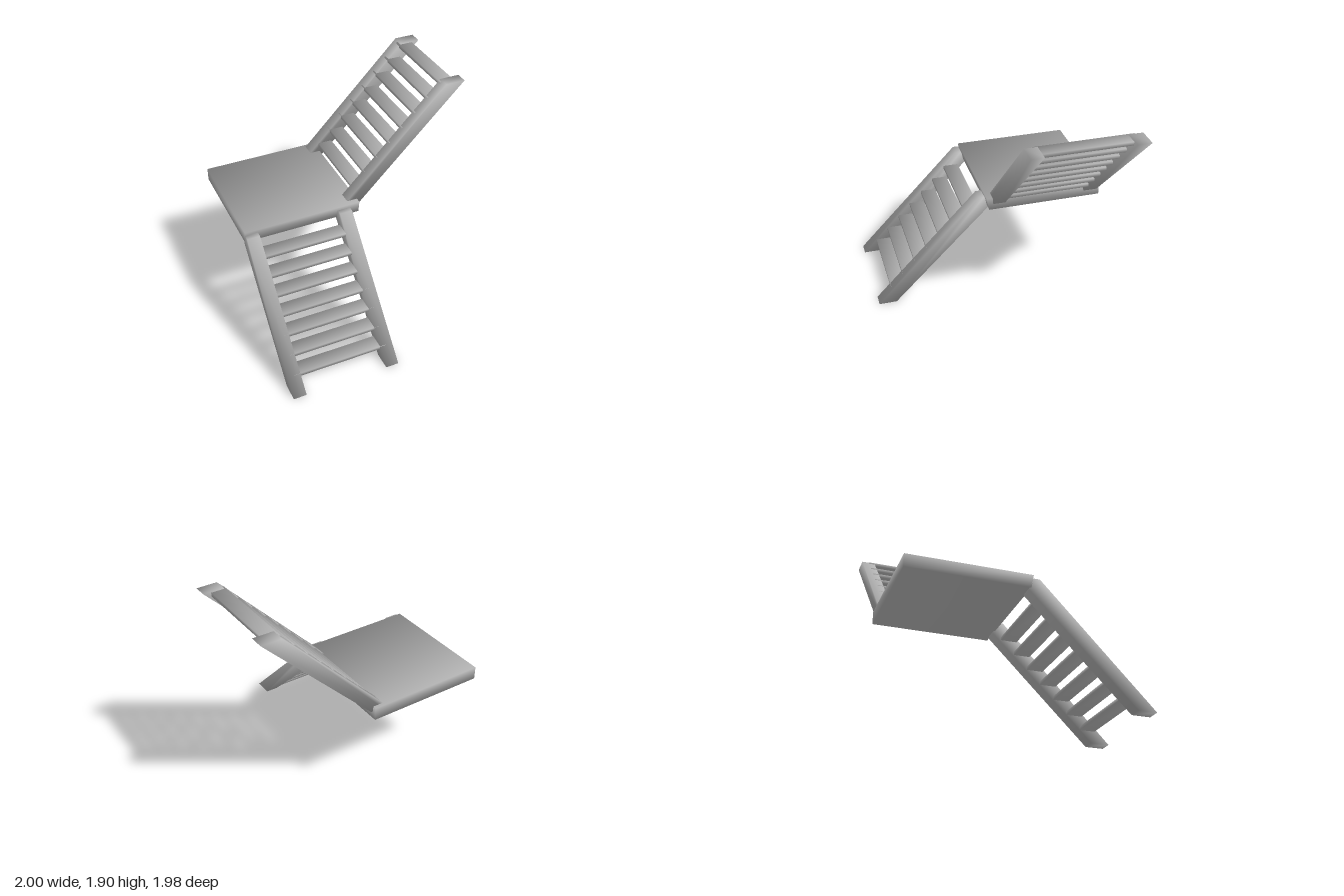
import * as THREE from 'three';

// Convex prism with shared corners, so shading rolls softly around every edge.
// profile: counter-clockwise [u, y] points, extruded from w0 to w1.
function prism(profile, w0, w1) {
  const n = profile.length, pos = [], nor = [], idx = [];
  const edgeNormal = i => {
    const a = profile[i % n], b = profile[(i + 1) % n];
    return new THREE.Vector3(b[1] - a[1], a[0] - b[0], 0).normalize();
  };
  [w0, w1].forEach((w, end) => {
    profile.forEach(([u, y], i) => {
      pos.push(u, y, w);
      const normal = edgeNormal(i).add(edgeNormal(i + n - 1));
      normal.z += end ? 1 : -1;
      nor.push(...normal.normalize().toArray());
    });
  });
  for (let i = 0; i < n; i++) {
    const j = (i + 1) % n;
    idx.push(i, j, n + j, i, n + j, n + i);
  }
  for (let i = 1; i < n - 1; i++) {
    idx.push(0, i + 1, i, n, n + i, n + i + 1);
  }
  const geo = new THREE.BufferGeometry();
  geo.setAttribute('position', new THREE.Float32BufferAttribute(pos, 3));
  geo.setAttribute('normal', new THREE.Float32BufferAttribute(nor, 3));
  geo.setIndex(idx);
  return geo;
}

// Prism whose profile lies in z/y and which runs along x
const prismAlongX = (profile, x0, x1) => prism(profile, -x1, -x0).rotateY(-Math.PI / 2);

const rect = (u0, u1, y0, y1) => [[u0, y0], [u1, y0], [u1, y1], [u0, y1]];

export function createModel() {
  const model = new THREE.Group();
  const grey = new THREE.MeshStandardMaterial({ color: 0xb4b4b4 });
  grey.name = 'plain grey';

  const add = (parent, name, geo) => {
    const mesh = new THREE.Mesh(geo, grey);
    mesh.name = name;
    parent.add(mesh);
  };
  const flight = name => {
    const group = new THREE.Group();
    group.name = name;
    model.add(group);
    return group;
  };

  // Landing slab with a slightly raked front edge
  add(model, 'landing', prismAlongX([[-0.99, 0.88], [0, 0.88], [0.022, 0.99], [-0.99, 0.99]], -1, 0.02));

  // Lower flight, climbing from the front up to the landing
  const lower = flight('lowerFlight');
  const lowerSide = [[0.83, 0], [0.985, 0], [0.07, 0.96], [0.02, 0.96], [-0.02, 0.86]];
  for (const [x0, x1] of [[-1, -0.89], [-0.18, -0.07]]) {
    add(lower, 'lowerStringer', prismAlongX(lowerSide, x0, x1));
  }
  for (let i = 0; i < 7; i++) {
    const y = 0.115 + i * 0.1175, front = 0.864 - i * 0.1125;
    add(lower, 'lowerTread', prismAlongX(rect(front - 0.135, front, y - 0.014, y + 0.014), -0.94, -0.13));
  }

  // Upper flight, turning to climb towards +x
  const upper = flight('upperFlight');
  const upperSide = [[-0.07, 0.945], [0.04, 0.945], [1, 1.9], [0.83, 1.9], [-0.07, 0.99]];
  for (const [z0, z1] of [[-0.96, -0.845], [-0.135, -0.03]]) {
    add(upper, 'upperStringer', prism(upperSide, z0, z1));
  }
  for (let i = 0; i < 8; i++) {
    const y = 1.058 + i * 0.117, front = 0.012 + i * 0.1138;
    add(upper, 'upperTread', prism(rect(front, front + 0.125, y - 0.015, y + 0.015), -0.9, -0.1));
  }

  return model;
}
